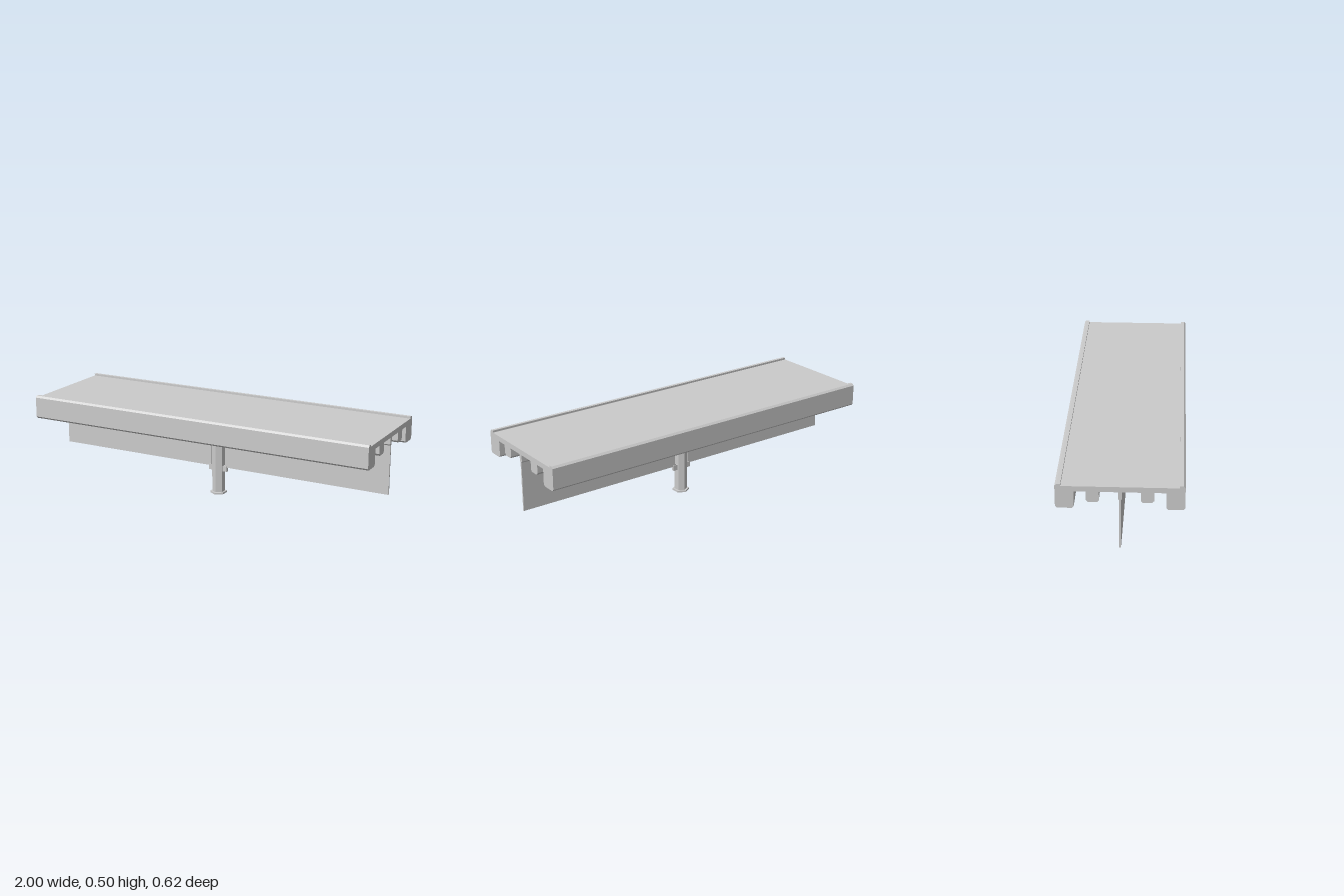
import * as THREE from 'three';

const material = new THREE.MeshStandardMaterial({ color: 0xcccccc, flatShading: true });

function add(parent, name, geometry, x = 0, y = 0, z = 0) {
  const mesh = new THREE.Mesh(geometry, material);
  mesh.name = name;
  mesh.position.set(x, y, z);
  parent.add(mesh);
  return mesh;
}

// Mirrors half a (z, y) section and extrudes it along x, from x0 over a length
function symmetricBar(half, length, x0) {
  const other = half.map(([z, y]) => [-z, y]).reverse();
  const shape = new THREE.Shape([...half, ...other].map(([z, y]) => new THREE.Vector2(z, y)));
  const geometry = new THREE.ExtrudeGeometry(shape, { depth: length, bevelEnabled: false });
  geometry.rotateY(Math.PI / 2);
  geometry.translate(x0, 0, 0);
  return geometry;
}

export function createModel() {
  const model = new THREE.Group();
  model.name = 'benchTable';

  // Deck with two under-ribs, deep side rails and raised lips
  const deckHalf = [
    [0.1, 0.463], [0.1, 0.417], [0.108, 0.407], [0.153, 0.407], [0.163, 0.419], [0.163, 0.463],
    [0.22, 0.463], [0.22, 0.382], [0.23, 0.372], [0.3, 0.372], [0.31, 0.382],
    [0.31, 0.492], [0.3, 0.502], [0.282, 0.502], [0.282, 0.491],
  ];
  add(model, 'deck', symmetricBar(deckHalf, 2, -1));

  // Hexagonal post on a flange, with a cross arm under the deck
  add(model, 'post', new THREE.CylinderGeometry(0.035, 0.035, 0.405, 6), 0, 0.2025, 0);
  add(model, 'footFlange', new THREE.CylinderGeometry(0.046, 0.046, 0.01, 6), 0, 0.005, 0);
  add(model, 'crossArm', new THREE.BoxGeometry(0.06, 0.058, 0.38), 0, 0.434, 0);

  // Hanging panels with a thicker head, seated in brackets on the post
  const panelHalf = [[0.0045, 0.153], [0.0045, 0.42], [0.01, 0.427], [0.01, 0.463]];
  for (const side of [-1, 1]) {
    const name = side > 0 ? 'left' : 'right';
    add(model, name + 'Panel', symmetricBar(panelHalf, 0.957, side > 0 ? 0.043 : -1));
    const bracket = new THREE.Group();
    bracket.name = name + 'Bracket';
    add(bracket, 'bracketBase', new THREE.BoxGeometry(0.03, 0.023, 0.017), side * 0.041, 0.1415, 0);
    for (const s of [-1, 1]) {
      add(bracket, 'bracketLip', new THREE.BoxGeometry(0.03, 0.008, 0.004), side * 0.041, 0.157, s * 0.0065);
    }
    model.add(bracket);
  }
  return model;
}
